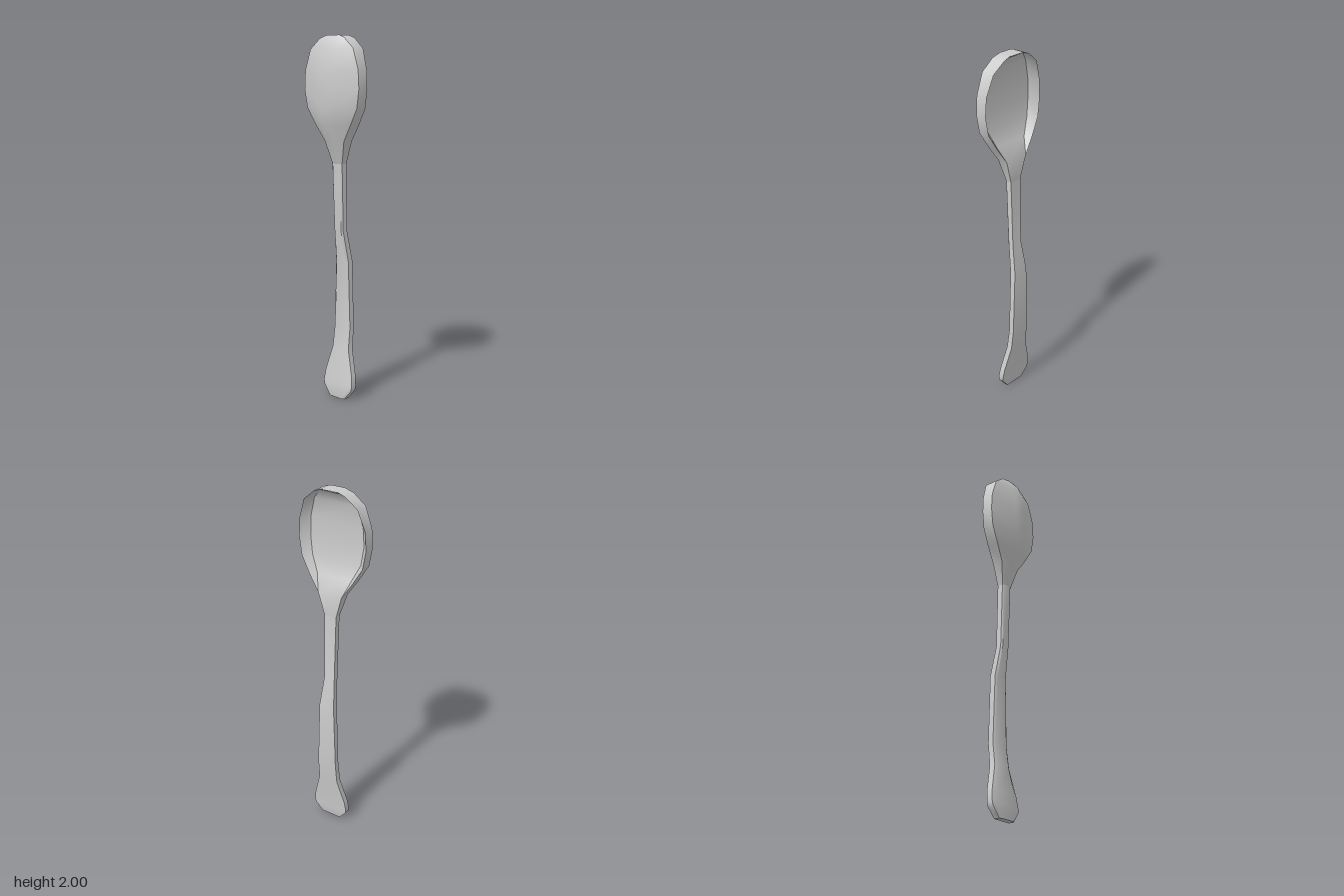
import * as THREE from 'three';
import { toCreasedNormals } from 'three/addons/utils/BufferGeometryUtils.js';

// Cross-section at height y: half width w, front edge xf, hollow floor xi,
// back edge of the side wall xm, outermost back xb with half width c.
function ring([y, w, xf, xi, xm, xb, c]) {
  return [
    [xf, w], [xi, w * 0.8], [xi, -w * 0.8], [xf, -w],
    [xm, -w], [xb, -c], [xb, c], [xm, w],
  ].map(([x, z]) => new THREE.Vector3(x, y, z));
}

// Skin a stack of rings, optionally closing the bottom or the top
function loft(sections, capBottom, capTop) {
  const rings = sections.map(ring);
  const n = rings[0].length;
  const pos = [];
  const tri = (...pts) => pts.forEach((p) => pos.push(p.x, p.y, p.z));
  for (let i = 0; i < rings.length - 1; i++) {
    for (let j = 0; j < n; j++) {
      const k = (j + 1) % n;
      const a = rings[i][j], b = rings[i][k], c = rings[i + 1][k], d = rings[i + 1][j];
      // Mirror the diagonals so both halves match
      if (a.z + b.z < 0) { tri(a, b, d); tri(b, c, d); }
      else { tri(a, b, c); tri(a, c, d); }
    }
  }
  const low = rings[0], high = rings[rings.length - 1];
  for (let j = 1; j < n - 1; j++) {
    if (capBottom) tri(low[0], low[j + 1], low[j]);
    if (capTop) tri(high[0], high[j], high[j + 1]);
  }
  const geo = new THREE.BufferGeometry();
  geo.setAttribute('position', new THREE.Float32BufferAttribute(pos, 3));
  return toCreasedNormals(geo, 0.7);
}

export function createModel() {
  const group = new THREE.Group();
  group.name = 'spoon';
  const material = new THREE.MeshStandardMaterial({ color: 0xcccccc });
  const add = (name, geo) => {
    const mesh = new THREE.Mesh(geo, material);
    mesh.name = name;
    group.add(mesh);
  };

  // Handle: y, half width, back x, front x
  const neck = [1.32, 0.036, 0.045, 0.045, 0.012, 0.003, 0.024];
  const handle = [
    [0, 0.06, 0.0, 0.04],
    [0.015, 0.07, 0.001, 0.044],
    [0.055, 0.104, 0.004, 0.048],
    [0.08, 0.108, 0.007, 0.05],
    [0.14, 0.1, 0.014, 0.056],
    [0.28, 0.06, 0.03, 0.072],
    [0.4, 0.058, 0.045, 0.085],
    [0.78, 0.046, 0.043, 0.085],
    [0.95, 0.032, 0.017, 0.056],
  ].map(([y, w, xb, xf]) => [y, w, xf, xf, xb + 0.009, xb, w * 0.75]);
  add('handle', loft([...handle, neck], true, false));

  // Bowl: flares from the neck, hollow on the +x side, bulging on -x
  add('bowl', loft([
    neck,
    [1.445, 0.072, 0.05, 0.05, -0.012, -0.035, 0.025],
    [1.53, 0.13, 0.042, 0.008, -0.025, -0.07, 0.03],
    [1.62, 0.184, 0.032, -0.012, -0.033, -0.088, 0.035],
    [1.72, 0.201, 0.028, -0.018, -0.036, -0.09, 0.035],
    [1.82, 0.195, 0.03, -0.015, -0.036, -0.089, 0.035],
    [1.93, 0.157, 0.042, -0.005, -0.034, -0.065, 0.04],
    [1.985, 0.09, 0.05, 0.025, -0.03, -0.043, 0.04],
    [2.0, 0.05, 0.05, 0.05, -0.025, -0.032, 0.035],
  ], false, true));

  return group;
}
